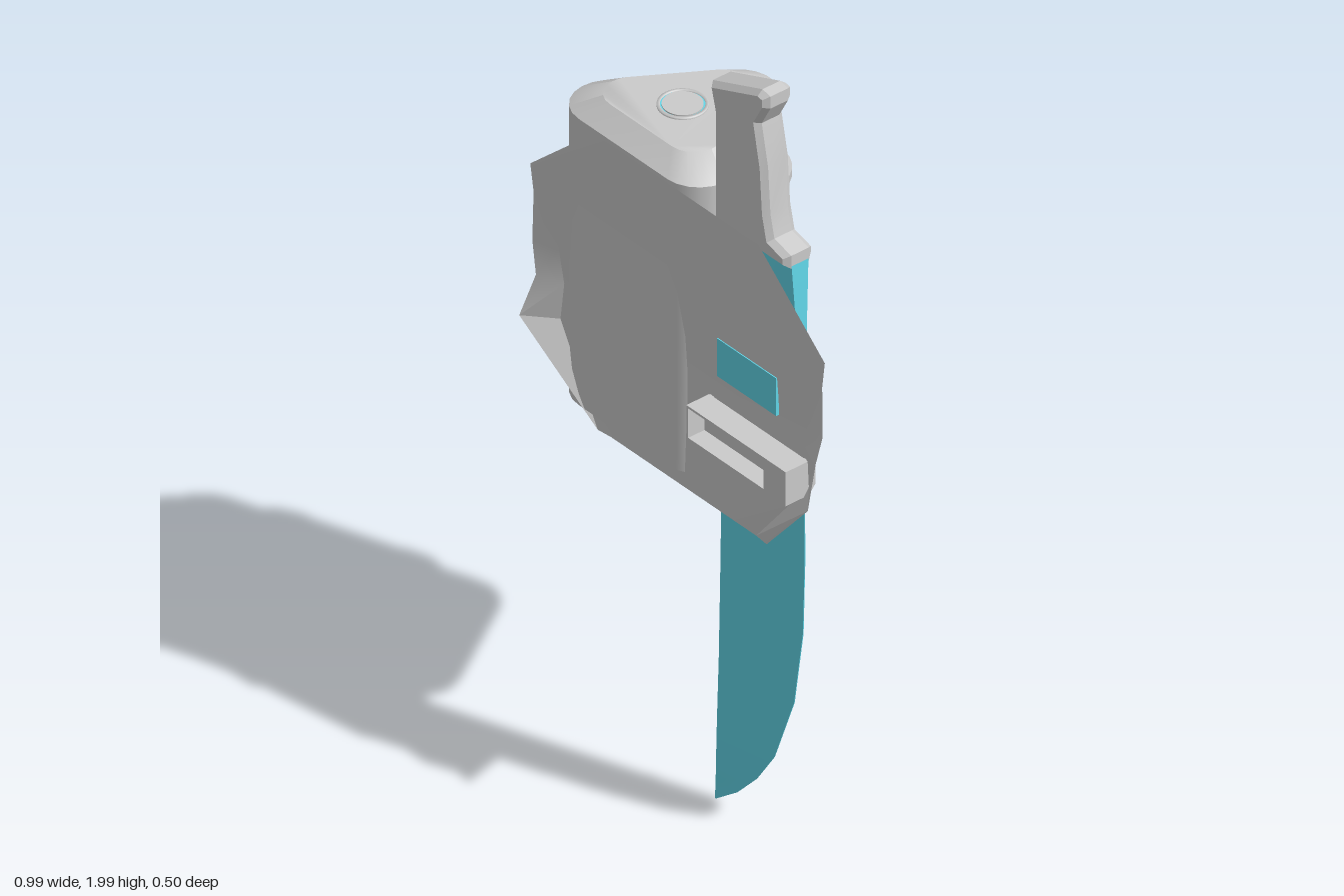
import * as THREE from 'three';
import { toCreasedNormals } from 'three/addons/utils/BufferGeometryUtils.js';

const grey = new THREE.MeshStandardMaterial({ color: 0xcccccc });
const greySheet = new THREE.MeshStandardMaterial({ color: 0xcccccc, side: THREE.DoubleSide });
const blue = new THREE.MeshStandardMaterial({ color: 0x62d8ea });

// Skin through cross-sections listed from bottom to top, each running +x along the front
function loft(rings, closed = true, crease = 0.5) {
  const n = rings[0].length, pos = [], idx = [];
  rings.forEach(r => r.forEach(p => pos.push(...p)));
  for (let i = 0; i < rings.length - 1; i++)
    for (let j = 0; j < (closed ? n : n - 1); j++) {
      const a = i * n + j, b = i * n + (j + 1) % n;
      idx.push(a, b, b + n, a, b + n, a + n);
    }
  if (closed) {
    const top = (rings.length - 1) * n;
    for (let j = 1; j < n - 1; j++) idx.push(top, top + j, top + j + 1, 0, j + 1, j);
  }
  const g = new THREE.BufferGeometry();
  g.setAttribute('position', new THREE.Float32BufferAttribute(pos, 3));
  g.setIndex(idx);
  return toCreasedNormals(g, crease);
}

function add(parent, name, geometry, material = grey, x = 0, y = 0, z = 0) {
  const m = new THREE.Mesh(geometry, material);
  m.name = name;
  m.position.set(x, y, z);
  parent.add(m);
  return m;
}
const box = (w, h, d) => new THREE.BoxGeometry(w, h, d);

// Extrude a plan outline of [x, z] points from y0 up to y1
function prism(points, y0, y1, hole) {
  const s = new THREE.Shape(points.map(p => new THREE.Vector2(...p)));
  if (hole) s.holes.push(new THREE.Path(hole.map(p => new THREE.Vector2(...p))));
  const g = new THREE.ExtrudeGeometry(s, { depth: y1 - y0, bevelEnabled: false });
  g.rotateX(Math.PI / 2).translate(0, y1, 0);
  return toCreasedNormals(g, 0.5);
}

// Rounded triangle of the canister: corner centres, radius and side direction
const R = 0.09, APEX = [0, -0.135], CORNER = [0.15, 0.105];
const DIR = [0.53, 0.848], NORM = [0.848, -0.53];
const SIDE = Math.atan2(NORM[0], NORM[1]);

function arc(c, a0, a1, r, steps = 7) {
  return Array.from({ length: steps + 1 }, (_, i) => {
    const a = a0 + (a1 - a0) * i / steps;
    return [c[0] + r * Math.sin(a), c[1] + r * Math.cos(a)];
  });
}

function makeCanister() {
  const g = new THREE.Group();
  g.name = 'canister';
  g.position.x = -0.19;
  const turn = 2 * Math.PI;
  const outline = [
    ...arc(CORNER, 0, SIDE, R),
    ...arc(APEX, SIDE, turn - SIDE, R),
    ...arc([-CORNER[0], CORNER[1]], turn - SIDE, turn, R)];
  const ring = (y, s) => outline.map(([x, z]) => [x * s, y, 0.025 + (z - 0.025) * s]);
  add(g, 'canisterBody', loft([ring(0.8, 0.7), ring(0.84, 1), ring(1.6, 1), ring(1.64, 0.7)]));

  // Round cap with a coloured ring at both ends
  for (const [y, s] of [[1.64, 1], [0.8, -1]]) {
    const profile = [[0.05, 0], [0.05, 0.005], [0.057, 0.005], [0.057, 0]].map(p => new THREE.Vector2(...p));
    const rim = add(g, 'capRim', new THREE.LatheGeometry(profile, 32), greySheet, 0, y, 0.025);
    rim.scale.y = s;
    add(g, 'capGlow', new THREE.CylinderGeometry(0.051, 0.051, 0.004, 32), blue, 0, y, 0.025);
    add(g, 'capButton', new THREE.CylinderGeometry(0.046, 0.046, 0.01, 32), grey, 0, y, 0.025);
  }

  // Bands wrapping the rear corner, reaching a length t along both sides
  const path = (r, t) => {
    const a = arc(APEX, SIDE, turn - SIDE, r, 10);
    const end = s => [s * (NORM[0] * r + DIR[0] * t), APEX[1] + NORM[1] * r + DIR[1] * t];
    return [end(1), ...a, end(-1)];
  };
  const band = (name, r, t, y0, y1, mat) =>
    add(g, name, prism([...path(r, t), ...path(R - 0.005, t).reverse()], y0, y1), mat);
  band('panelGlow', R + 0.008, 0.2, 1.05, 1.39, blue);
  band('panelCover', R + 0.021, 0.165, 1.075, 1.37, grey);
  band('panelRailLower', R + 0.026, 0.215, 1.038, 1.058, grey);
  band('panelRailUpper', R + 0.026, 0.215, 1.386, 1.406, grey);
  for (const s of [1, -1]) {
    const onSide = (name, geo, mat, r, t, y) => {
      const m = add(g, name, geo, mat, s * (NORM[0] * r + DIR[0] * t), y,
        APEX[1] + NORM[1] * r + DIR[1] * t);
      m.rotation.y = s * Math.asin(0.53);
    };
    onSide('panelEnd', box(0.03, 0.36, 0.03), grey, R + 0.011, 0.2, 1.222);
    onSide('crossUpright', box(0.006, 0.085, 0.024), blue, R + 0.02, 0.075, 1.22);
    onSide('crossBar', box(0.006, 0.024, 0.085), blue, R + 0.02, 0.075, 1.22);
  }
  return g;
}

// Thin plate with bent-out side tips: [y, half width, middle z, edge z]
function makePlate() {
  const g = new THREE.Group();
  g.name = 'mountingPlate';
  const rows = [
    [0.8, 0.285, 0.183, 0.187], [1.02, 0.487, 0.18, 0.24], [1.12, 0.472, 0.18, 0.205],
    [1.2, 0.49, 0.182, 0.2], [1.33, 0.487, 0.192, 0.199], [1.4, 0.497, 0.197, 0.2], [1.6, 0.275, 0.205, 0.203]];
  const cols = [-1, -0.86, -0.4, 0, 0.4, 0.86, 1];
  add(g, 'plateSheet', loft(rows.map(([y, w, zm, ze]) =>
    cols.map(c => [c * w, y, Math.abs(c) === 1 ? ze : zm])), false, 0.3), greySheet);
  add(g, 'plateMarker', box(0.2, 0.1, 0.012), blue, 0.22, 1.21, 0.183);
  return g;
}

function makeKnife() {
  const g = new THREE.Group();
  g.name = 'knife';
  const zc = 0.16;
  // [y, spine x, edge x, spine half thickness, edge half thickness]
  const rows = [
    [0.005, 0.08, 0.083, 0.001, 0.001], [0.06, 0.086, 0.155, 0.004, 0.001],
    [0.13, 0.09, 0.22, 0.006, 0.001], [0.22, 0.096, 0.28, 0.009, 0.001],
    [0.4, 0.106, 0.347, 0.012, 0.001], [0.6, 0.114, 0.377, 0.015, 0.001],
    [0.8, 0.12, 0.383, 0.017, 0.001], [1.15, 0.122, 0.38, 0.019, 0.001],
    [1.58, 0.122, 0.366, 0.024, 0.024]];
  add(g, 'blade', loft(rows.map(([y, a, b, h, e]) =>
    [[a, y, zc + h], [b, y, zc + e], [b, y, zc - e], [a, y, zc - h]])), blue);

  // Grip with chamfered edges and a flared pommel
  const grip = [[0.13, 1.585], [0.355, 1.585], [0.355, 1.6], [0.3, 1.615], [0.285, 1.68], [0.277, 1.8],
    [0.255, 1.91], [0.285, 1.965], [0.285, 1.985], [0.27, 1.988], [0.115, 1.928], [0.13, 1.87]];
  const shape = new THREE.Shape(grip.map(p => new THREE.Vector2(...p)));
  const geo = new THREE.ExtrudeGeometry(shape,
    { depth: 0.05, bevelSize: 0.011, bevelThickness: 0.015, bevelSegments: 1 });
  add(g, 'grip', toCreasedNormals(geo, 0.35), grey, 0, 0, zc - 0.025);
  return g;
}

// Strap around the blade with an open sleeve on the plate's front
function makeStrap() {
  const g = new THREE.Group();
  g.name = 'knifeStrap';
  const outer = [[0.085, 0.2], [0.42, 0.2], [0.42, 0.18], [0.395, 0.14], [0.35, 0.118], [0.29, 0.112],
    [0.12, 0.115], [0.09, 0.14]];
  const inner = [[0.1, 0.185], [0.405, 0.185], [0.405, 0.18], [0.385, 0.15], [0.345, 0.13], [0.29, 0.124],
    [0.125, 0.127], [0.104, 0.145]];
  add(g, 'strapLoop', prism(outer, 1, 1.09, inner));
  for (const y of [1.003, 1.087]) add(g, 'sleeveRail', box(0.335, 0.006, 0.065), grey, 0.2525, y, 0.214);
  add(g, 'sleeveEnd', box(0.006, 0.09, 0.065), grey, 0.088, 1.045, 0.214);
  add(g, 'sleeveBlock', box(0.075, 0.09, 0.065), grey, 0.3825, 1.045, 0.214);
  return g;
}

export function createModel() {
  const model = new THREE.Group();
  model.name = 'canisterAndKnifePack';
  model.add(makeCanister(), makePlate(), makeKnife(), makeStrap());
  return model;
}
